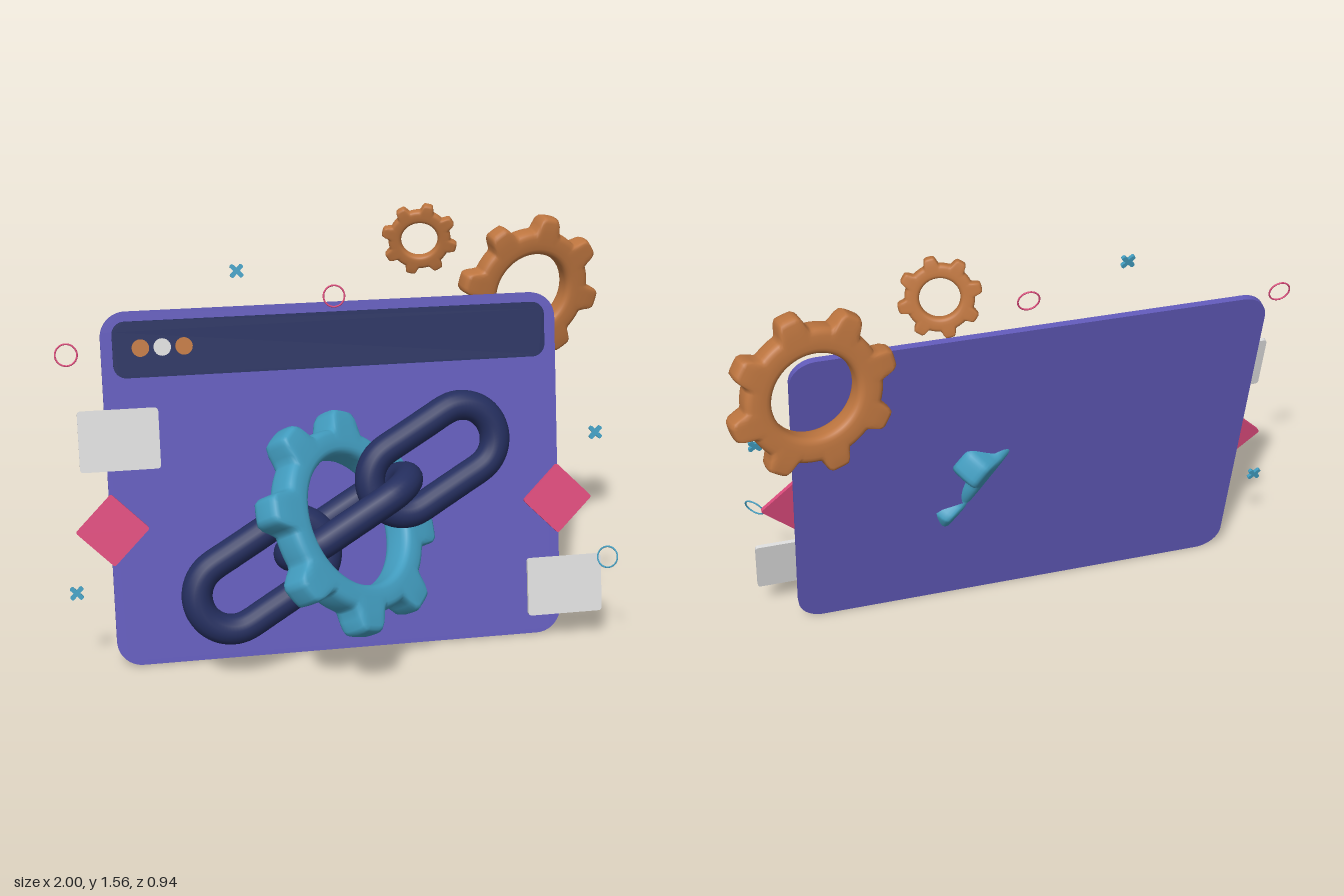
import * as THREE from 'three';
import { mergeVertices } from 'three/addons/utils/BufferGeometryUtils.js';

const mat = (name, color) => {
  const m = new THREE.MeshStandardMaterial({ color });
  m.name = name;
  return m;
};
const TILT = -0.2; // lean of the panel and the cards around it

// Rounded plate, centred on its own origin, facing +z
function plateGeometry(w, h, depth, r) {
  const x = w / 2, y = h / 2;
  const s = new THREE.Shape();
  s.absarc(x - r, y - r, r, 0, Math.PI / 2);
  s.absarc(-x + r, y - r, r, Math.PI / 2, Math.PI);
  s.absarc(-x + r, -y + r, r, Math.PI, Math.PI * 1.5);
  s.absarc(x - r, -y + r, r, Math.PI * 1.5, Math.PI * 2);
  s.closePath();
  return new THREE.ExtrudeGeometry(s, { depth, bevelEnabled: false, curveSegments: 10 })
    .translate(0, 0, -depth / 2);
}

// Soft gear: a torus squared off in section, with eight teeth pushed outwards
function gearGeometry(R, holeRatio, firstTooth) {
  const inner = R * holeRatio, body = R * 0.82, h = R * 0.15;
  const g = new THREE.TorusGeometry(1, 0.5, 24, 160);
  const p = g.attributes.position;
  const soft = (v) => Math.sign(v) * Math.pow(Math.abs(v), 0.6);
  for (let i = 0; i < p.count; i++) {
    const a = Math.atan2(p.getY(i), p.getX(i));
    const c = (Math.hypot(p.getX(i), p.getY(i)) - 1) * 2, s = p.getZ(i) * 2;
    const tooth = THREE.MathUtils.smoothstep(Math.cos(8 * (a - firstTooth)), -0.25, 0.75);
    const r = (inner + body) / 2 + soft(c) * (body - inner) / 2
      + tooth * (R - body) * THREE.MathUtils.smoothstep(c, 0, 0.6);
    p.setXYZ(i, Math.cos(a) * r, Math.sin(a) * r, soft(s) * h);
  }
  g.deleteAttribute('uv');
  g.deleteAttribute('normal');
  const merged = mergeVertices(g, 1e-5);
  merged.computeVertexNormals();
  return merged;
}

// Chain link: a tube around a stadium path
function linkGeometry(half, r, tube) {
  const pts = [];
  for (const side of [0, 1]) {
    for (let i = 0; i <= 12; i++) {
      const a = -Math.PI / 2 + (i / 12 + side) * Math.PI;
      pts.push(new THREE.Vector3(Math.cos(a) * r + (side ? -half : half), Math.sin(a) * r, 0));
    }
    const d = side ? 1 : -1;
    for (const t of [-0.5, 0, 0.5]) pts.push(new THREE.Vector3(-d * -t * half, -d * r, 0));
  }
  return new THREE.TubeGeometry(new THREE.CatmullRomCurve3(pts, true), 96, tube, 18, true);
}

export function createModel() {
  const model = new THREE.Group();
  const purple = mat('purple', 0x6059b8), navy = mat('navy', 0x242e5e);
  const teal = mat('teal', 0x429dc0), orange = mat('orange', 0xbd753f);
  const white = mat('white', 0xdadada), pink = mat('pink', 0xdb4a7b);

  const add = (name, geometry, material, pos = [0, 0, 0], parent = model) => {
    const m = new THREE.Mesh(geometry, material);
    m.name = name;
    m.position.set(...pos);
    parent.add(m);
    return m;
  };

  // Leaning window panel with title bar and three buttons
  const panel = new THREE.Group();
  panel.name = 'windowPanel';
  panel.position.set(-0.03, 0, 0);
  panel.rotation.x = TILT;
  model.add(panel);
  add('panelSheet', plateGeometry(1.62, 1.25, 0.022, 0.09), purple, [0, 0.627, 0], panel);
  add('titleBar', plateGeometry(1.535, 0.195, 0.01, 0.045), navy, [-0.003, 1.122, 0.03], panel);
  [orange, white, orange].forEach((m, i) => {
    const disc = new THREE.CylinderGeometry(0.03, 0.03, 0.009, 24).rotateX(Math.PI / 2);
    add('barButton', disc, m, [-0.675 + i * 0.075, 1.127, 0.039], panel);
  });

  // Gears: radius, hole ratio, first tooth angle, facing, position
  const gears = [
    ['chainGear', teal, 0.4, 0.575, 21, [0.6, 0.5, 0.62], [-0.035, 0.54, 0.12]],
    ['largeGear', orange, 0.28, 0.5, 33, [0.2, -0.1, 0.97], [0.73, 1.2, -0.393]],
    ['smallGear', orange, 0.134, 0.48, 32, [-0.18, -0.2, 0.95], [0.3, 1.425, -0.31]],
  ];
  for (const [name, m, R, hole, deg, facing, pos] of gears) {
    const g = add(name, gearGeometry(R, hole, THREE.MathUtils.degToRad(deg)), m);
    g.lookAt(...facing);
    g.position.set(...pos);
  }

  // Three interlocked links, the middle one turned a quarter
  const along = new THREE.Vector3(0.625, 0.335, -0.125).normalize();
  const face = new THREE.Vector3(0, 0.2, 0.98);
  face.addScaledVector(along, -face.dot(along)).normalize();
  const across = new THREE.Vector3().crossVectors(face, along);
  const link = linkGeometry(0.125, 0.122, 0.053);
  for (const k of [-1, 0, 1]) {
    const m = add('chainLink', link, navy);
    m.quaternion.setFromRotationMatrix(k
      ? new THREE.Matrix4().makeBasis(along, across, face)
      : new THREE.Matrix4().makeBasis(along, face, across.clone().negate()));
    m.position.set(-0.025, 0.542, 0.067).addScaledVector(along, k * 0.36);
  }

  // Floating cards and diamonds
  for (const pos of [[-0.798, 0.83, -0.05], [0.772, 0.212, 0.057]]) {
    add('card', plateGeometry(0.275, 0.21, 0.014, 0.012), white, pos).rotation.x = TILT;
  }
  for (const pos of [[-0.835, 0.51, -0.025], [0.758, 0.516, -0.028]]) {
    const d = plateGeometry(0.18, 0.18, 0.014, 0.008).rotateZ(Math.PI / 4);
    add('diamond', d, pink, pos).rotation.x = TILT;
  }

  // Small crosses
  for (const pos of [[-0.37, 1.375, -0.162], [0.88, 0.77, 0], [-0.97, 0.295, 0]]) {
    const cross = new THREE.Group();
    cross.name = 'cross';
    cross.position.set(...pos);
    cross.rotation.x = TILT;
    model.add(cross);
    for (const s of [-1, 1]) {
      add('crossBar', plateGeometry(0.056, 0.015, 0.012, 0.005), teal, [0, 0, 0], cross)
        .rotation.z = s * Math.PI / 4;
    }
  }

  // Thin rings
  const ring = new THREE.TorusGeometry(0.037, 0.003, 8, 32);
  const rings = [
    [pink, [0, 0.2, 0.98], [-0.96, 1.13, -0.087]],
    [pink, [0, 0.2, 0.98], [-0.035, 1.273, -0.153]],
    [teal, [-0.6, 0.35, 0.65], [0.882, 0.37, 0.195]],
  ];
  for (const [m, facing, pos] of rings) {
    const r = add('ring', ring, m);
    r.lookAt(...facing);
    r.position.set(...pos);
  }
  return model;
}
